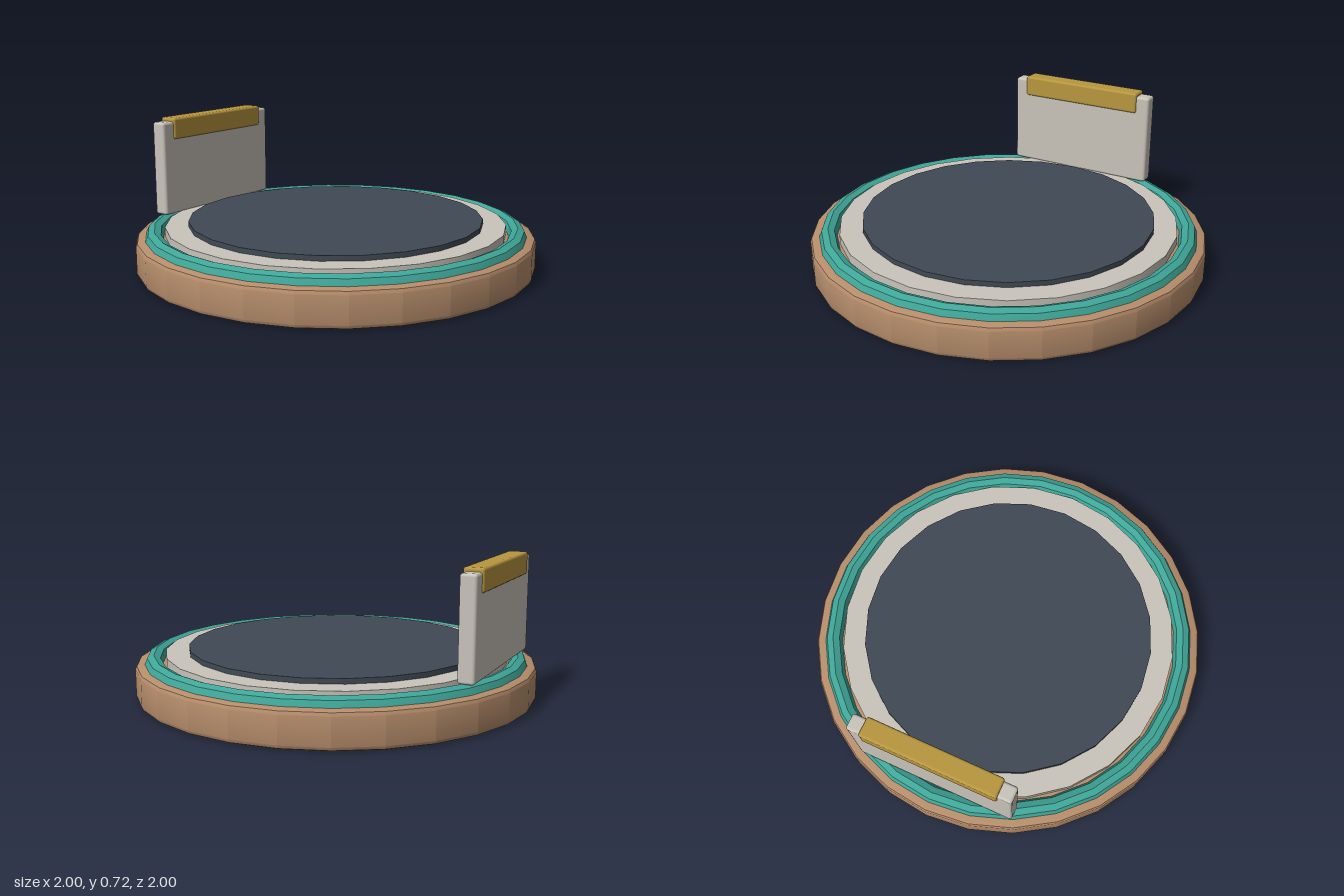
import * as THREE from 'three';
import { toCreasedNormals } from 'three/addons/utils/BufferGeometryUtils.js';
import { RoundedBoxGeometry } from 'three/addons/geometries/RoundedBoxGeometry.js';

const material = (name, color) => {
  const m = new THREE.MeshStandardMaterial({ color });
  m.name = name;
  return m;
};

export function createModel() {
  const group = new THREE.Group();
  const tan = material('tan', 0xb68d6b);
  const teal = material('teal', 0x3fa698);
  const stone = material('stone', 0xc9c4bb);
  const slate = material('slate', 0x404a54);
  const gold = material('gold', 0xb8973f);

  const add = (name, geometry, mat, x = 0, y = 0, z = 0) => {
    const mesh = new THREE.Mesh(geometry, mat);
    mesh.name = name;
    mesh.position.set(x, y, z);
    group.add(mesh);
    return mesh;
  };

  // Round base with softened rims
  const profile = [
    [0, 0], [0.977, 0], [0.993, 0.007], [1, 0.022],
    [1, 0.153], [0.993, 0.168], [0.977, 0.175], [0, 0.175],
  ].map(([r, y]) => new THREE.Vector2(r, y));
  add('base', toCreasedNormals(new THREE.LatheGeometry(profile, 28), 0.45), tan);

  // Ring half sunk into the base
  const ring = new THREE.TorusGeometry(0.91, 0.045, 8, 28).rotateX(-Math.PI / 2);
  add('ring', toCreasedNormals(ring, 0.5), teal, 0, 0.173, 0);

  // Stacked discs
  const disc = (name, radius, bottom, top, mat) => add(name,
    toCreasedNormals(new THREE.CylinderGeometry(radius, radius, top - bottom, 24), 0.5),
    mat, 0, (bottom + top) / 2, 0);
  disc('platform', 0.855, 0.165, 0.22, stone);
  disc('topPad', 0.74, 0.215, 0.245, slate);

  // Upright panel at the back with its cap
  add('backPanel', new RoundedBoxGeometry(0.82, 0.485, 0.08, 2, 0.014), stone, 0, 0.4575, -0.83);
  add('panelCap', new RoundedBoxGeometry(0.68, 0.11, 0.098, 2, 0.012), gold, 0, 0.663, -0.83);

  return group;
}
